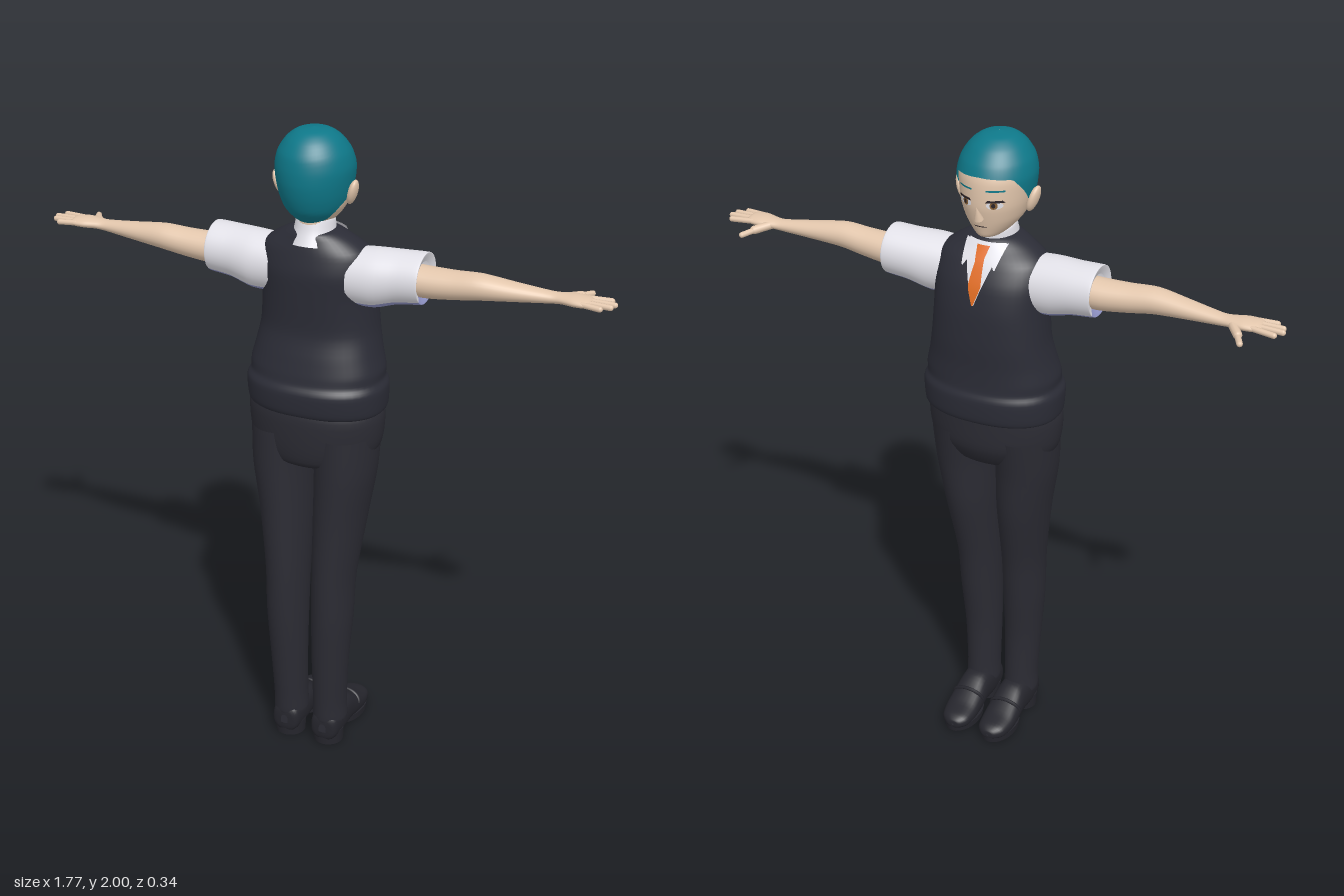
import * as THREE from 'three';

const mat = (name, color, side = THREE.FrontSide) =>
  Object.assign(new THREE.MeshStandardMaterial({ color, side }), { name });

// Section: [t, a, b, ra, rb, power], a superellipse at height t. Smooth between sections.
function at(sec, s) {
  const n = sec.length - 1, i = Math.min(Math.floor(s), n - 1), f = s - i;
  const g = (k, j) => sec[Math.max(0, Math.min(n, k))][j] ?? 2;
  return [0, 1, 2, 3, 4, 5].map((j) => {
    const p = g(i, j), q = g(i + 1, j);
    const m0 = 0.4 * (q - g(i - 1, j)), m1 = 0.4 * (g(i + 2, j) - p);
    const f2 = f * f, f3 = f2 * f;
    return p * (2 * f3 - 3 * f2 + 1) + m0 * (f3 - 2 * f2 + f) + q * (3 * f2 - 2 * f3) + m1 * (f3 - f2);
  });
}

// Section parameter at a given height
function sectionAt(sec, y) {
  let lo = 0, hi = sec.length - 1;
  for (let i = 0; i < 30; i++) {
    const m = (lo + hi) / 2;
    if (at(sec, m)[0] < y) lo = m; else hi = m;
  }
  return lo;
}

// Surface from a function of u and v in 0..1
function grid(f, nu, nv, closed = false) {
  const pos = [], idx = [], w = closed ? nu : nu + 1;
  for (let j = 0; j <= nv; j++) for (let i = 0; i < w; i++) pos.push(...f(i / nu, j / nv));
  for (let j = 0; j < nv; j++) for (let i = 0; i < nu; i++) {
    const a = j * w + i, b = j * w + (i + 1) % w;
    idx.push(a, a + w, b, b, a + w, b + w);
  }
  const g = new THREE.BufferGeometry();
  g.setAttribute('position', new THREE.Float32BufferAttribute(pos, 3));
  g.setIndex(idx);
  g.computeVertexNormals();
  return g;
}

// Angle 0 points to the face side (-z)
function onRing([t, a, b, ra, rb, p], th, grow = 0) {
  const pw = (v) => Math.sign(v) * Math.abs(v) ** (2 / p);
  return [a + pw(Math.sin(th)) * Math.max(ra + grow, 0.0005), t,
    b - pw(Math.cos(th)) * Math.max(rb + grow, 0.0005)];
}

function loft(sec, nu = 36, th0 = 0, th1 = Math.PI * 2) {
  const full = th1 - th0 > 6.28;
  return grid((u, v) => onRing(at(sec, v * (sec.length - 1)), th0 + u * (th1 - th0)),
    nu, (sec.length - 1) * 4, full);
}

// Thin piece following the face side of a loft, centred on cx(v)
function patch(sec, y0, y1, cx, half, off, nu = 10, nv = 12) {
  return grid((u, v) => {
    const y = y0 + (y1 - y0) * v, x = cx(v) + (u * 2 - 1) * half(v);
    const [, a, b, ra, rb, p] = at(sec, sectionAt(sec, y));
    const k = Math.min(1, Math.abs((x - a) / ra));
    return [x, y, b - rb * (1 - k ** p) ** (1 / p) - off];
  }, nu, nv);
}

function mirrored(geo) {
  const g = geo.clone().scale(-1, 1, 1), ix = g.index.array;
  for (let i = 0; i < ix.length; i += 3) [ix[i], ix[i + 1]] = [ix[i + 1], ix[i]];
  return g;
}

// Rounded rod between two points
function rod(p, q, r) {
  const a = new THREE.Vector3(...p), b = new THREE.Vector3(...q), d = b.clone().sub(a);
  const g = new THREE.CapsuleGeometry(r, d.length(), 5, 10);
  g.applyQuaternion(new THREE.Quaternion().setFromUnitVectors(new THREE.Vector3(0, 1, 0), d.normalize()));
  return g.translate(...a.add(b).multiplyScalar(0.5).toArray());
}

const blob = (x, y, z, rx, ry, rz) =>
  new THREE.SphereGeometry(1, 20, 14).scale(rx, ry, rz).translate(x, y, z);

export function createModel() {
  const root = new THREE.Group();
  const D = THREE.DoubleSide;
  const skin = mat('skin', 0xe2c6ac), hair = mat('hair', 0x0e7889, D);
  const vest = mat('vest', 0x2b2c36), cloth = mat('trousers', 0x2b2b33);
  const shirt = mat('shirt', 0xe2e1e8, D), shade = mat('shirtUnderside', 0x979bcf, D);
  const orange = mat('tie', 0xe06c22, D), leather = mat('shoeLeather', 0x25252c);
  const dark = mat('eyeLine', 0x2b2226, D), amber = mat('iris', 0x8a6238, D);

  const add = (name, geo, m) => {
    const mesh = new THREE.Mesh(geo, m);
    mesh.name = name;
    root.add(mesh);
  };
  const both = (name, geo, m) => {
    add(name + 'Left', geo, m);
    add(name + 'Right', mirrored(geo), m);
  };

  // Head, neck, ears, nose
  const head = [[1.711, 0, 0, 0.01, 0.02], [1.717, 0, -0.003, 0.036, 0.062], [1.74, 0, 0.01, 0.062, 0.086],
    [1.77, 0, 0.02, 0.084, 0.104], [1.81, 0, 0.024, 0.098, 0.116], [1.85, 0, 0.028, 0.105, 0.12],
    [1.89, 0, 0.03, 0.108, 0.118], [1.93, 0, 0.034, 0.098, 0.106], [1.965, 0, 0.037, 0.074, 0.08],
    [1.987, 0, 0.04, 0.043, 0.046], [1.994, 0, 0.04, 0.001, 0.001]];
  add('head', loft(head, 48), skin);
  add('neck', new THREE.CylinderGeometry(0.045, 0.05, 0.16, 24).translate(0, 1.7, 0.045), skin);
  both('ear', blob(0, 0, 0, 0.014, 0.04, 0.024).rotateZ(-0.3).rotateX(0.2).translate(0.113, 1.82, 0.028), skin);
  add('nose', new THREE.ConeGeometry(0.014, 0.045, 12).rotateX(-0.35).translate(0, 1.802, -0.098), skin);

  // Close-cropped hair, hairline height by angle from the face
  const line = [[0, 1.905], [0.85, 1.9], [1.2, 1.86], [1.5, 1.815], [1.9, 1.79], [2.3, 1.745], [3.2, 1.728]];
  const hairline = (th) => {
    const a = Math.min(th, Math.PI * 2 - th), i = line.findIndex((p) => p[0] > a);
    const [p, q] = [line[i - 1], line[i]];
    return p[1] + (q[1] - p[1]) * (a - p[0]) / (q[0] - p[0]);
  };
  add('hair', grid((u, v) => {
    const th = u * Math.PI * 2, s0 = sectionAt(head, hairline(th));
    const p = onRing(at(head, s0 + (head.length - 1 - s0) * v), th, 0.006 * (1 - v ** 8));
    p[1] += 0.006 * v;
    return p;
  }, 64, 28, true), hair);

  // Painted face
  const oval = (w) => (v) => w * Math.sqrt(Math.max(0, 1 - (2 * v - 1) ** 2));
  const facePart = (name, y0, y1, x, w, off, m) => both(name, patch(head, y0, y1, () => x, w, off), m);
  facePart('eyeWhite', 1.814, 1.838, 0.044, oval(0.021), 0.002, shirt);
  facePart('iris', 1.815, 1.838, 0.043, oval(0.01), 0.0035, amber);
  facePart('pupil', 1.82, 1.834, 0.043, oval(0.005), 0.005, dark);
  facePart('upperLash', 1.835, 1.842, 0.046, (v) => 0.025 - 0.006 * v, 0.005, dark);
  facePart('brow', 1.866, 1.871, 0.046, () => 0.024, 0.003, hair);
  add('mouth', patch(head, 1.754, 1.757, () => 0, () => 0.018, 0.002), dark);

  // Knitted vest with a rolled hem
  const torso = [[1.152, 0, 0.01, 0.18, 0.12, 2.3], [1.15, 0, 0.01, 0.207, 0.144, 2.3], [1.17, 0, 0.011, 0.213, 0.153, 2.3],
    [1.225, 0, 0.012, 0.215, 0.156, 2.3], [1.25, 0, 0.01, 0.204, 0.145, 2.3], [1.28, 0, 0.008, 0.204, 0.141, 2.3],
    [1.33, 0, 0.002, 0.192, 0.135, 2.3], [1.4, 0, -0.008, 0.179, 0.128, 2.3], [1.5, 0, -0.004, 0.172, 0.128, 2.3],
    [1.58, 0, 0.006, 0.173, 0.121, 2.3], [1.64, 0, 0.015, 0.163, 0.1, 2.2], [1.675, 0, 0.024, 0.122, 0.081, 2],
    [1.7, 0, 0.03, 0.075, 0.065, 2], [1.71, 0, 0.03, 0.03, 0.03, 2]];
  add('vest', loft(torso, 48), vest);

  // Shirt front, tie and collar
  const mid = () => 0, vee = (v) => 0.002 + 0.056 * v;
  add('shirtFront', patch(torso, 1.53, 1.695, mid, vee, 0.005), shirt);
  add('tieBlade', patch(torso, 1.532, 1.67, mid, (v) => Math.min(vee(v * 0.84), 0.026 - 0.015 * v), 0.01), orange);
  add('tieKnot', patch(torso, 1.652, 1.69, mid, (v) => 0.012 + 0.008 * v, 0.016), orange);
  both('collarWing', patch(torso, 1.635, 1.695, (v) => 0.05 - 0.012 * v, (v) => 0.002 + 0.025 * v, 0.013), shirt);
  const collar = [[1.65, 0, 0.032, 0.072, 0.078], [1.69, 0, 0.032, 0.062, 0.068],
    [1.727, 0, 0.035, 0.056, 0.062], [1.731, 0, 0.035, 0.052, 0.058], [1.715, 0, 0.035, 0.048, 0.054]];
  add('collar', loft(collar).translate(0, -1.69, -0.03).rotateX(-0.22).translate(0, 1.69, 0.03), shirt);

  // Arms, lofted upright and then laid along x
  const sleeve = [[0.12, -1.57, 0.018, 0.085, 0.085], [0.19, -1.572, 0.016, 0.088, 0.086], [0.26, -1.582, 0.01, 0.079, 0.081],
    [0.325, -1.587, 0.008, 0.076, 0.08], [0.331, -1.587, 0.008, 0.072, 0.076], [0.322, -1.585, 0.008, 0.05, 0.055]];
  const low = Math.PI / 2 - 0.75, high = Math.PI / 2 + 0.75;
  both('sleeve', loft(sleeve, 30, high, low + Math.PI * 2).rotateZ(-Math.PI / 2), shirt);
  both('sleeveUnderside', loft(sleeve, 12, low, high).rotateZ(-Math.PI / 2), shade);
  const arm = [[0.22, -1.585, 0.01, 0.045, 0.05], [0.33, -1.579, 0.01, 0.046, 0.052], [0.42, -1.584, 0.013, 0.042, 0.047],
    [0.5, -1.592, 0.015, 0.038, 0.043], [0.6, -1.59, 0.007, 0.027, 0.034], [0.7, -1.588, -0.003, 0.017, 0.024],
    [0.735, -1.59, -0.004, 0.015, 0.029], [0.77, -1.591, -0.002, 0.016, 0.037],
    [0.805, -1.591, 0, 0.013, 0.036], [0.82, -1.591, 0, 0.004, 0.025]];
  both('arm', loft(arm, 28).rotateZ(-Math.PI / 2), skin);
  [[-0.028, -0.038, 0.862], [-0.009, -0.011, 0.878], [0.01, 0.012, 0.872], [0.027, 0.034, 0.848]].forEach(
    ([z0, z1, x], i) => both('finger' + (i + 1), rod([0.795, 1.592, z0], [x, 1.59, z1], 0.0085), skin));
  both('thumbBase', rod([0.735, 1.588, -0.018], [0.768, 1.582, -0.062], 0.013), skin);
  both('thumbTip', rod([0.766, 1.582, -0.06], [0.788, 1.577, -0.1], 0.009), skin);

  // Trousers
  const hips = [[1.2, 0, 0.012, 0.19, 0.13], [1.14, 0, 0.02, 0.212, 0.14], [1.05, 0, 0.021, 0.204, 0.137],
    [0.99, 0, 0.03, 0.165, 0.115], [0.965, 0, 0.03, 0.08, 0.07], [0.96, 0, 0.03, 0.001, 0.001]];
  add('trouserHips', loft(hips.reverse(), 48), cloth);
  const leg = [[0.085, 0.067, 0.07, 0.04, 0.045], [0.08, 0.067, 0.07, 0.053, 0.061], [0.15, 0.067, 0.073, 0.052, 0.062],
    [0.3, 0.07, 0.078, 0.057, 0.067], [0.45, 0.075, 0.074, 0.063, 0.08], [0.6, 0.077, 0.065, 0.066, 0.09],
    [0.8, 0.088, 0.041, 0.08, 0.11], [0.95, 0.1, 0.033, 0.092, 0.118], [1.08, 0.1, 0.022, 0.098, 0.128]];
  both('trouserLeg', loft(leg, 32), cloth);

  // Shoes: upper lofted from heel to toe, with sole, heel and strap
  const upper = [[-0.132, 0.066, 0.055, 0.012, 0.02, 2.6], [-0.122, 0.066, 0.06, 0.042, 0.045, 2.6],
    [-0.06, 0.066, 0.068, 0.05, 0.055, 2.6], [0, 0.066, 0.068, 0.05, 0.055, 2.4], [0.05, 0.066, 0.054, 0.053, 0.043, 2.4],
    [0.1, 0.066, 0.042, 0.053, 0.031, 2.4], [0.145, 0.064, 0.037, 0.044, 0.024, 2.4],
    [0.166, 0.062, 0.034, 0.022, 0.014, 2.2], [0.169, 0.062, 0.033, 0.003, 0.003, 2]];
  both('shoeUpper', loft(upper, 28).rotateX(-Math.PI / 2), leather);
  both('shoeSole', new THREE.CylinderGeometry(1, 0.97, 0.022, 28).scale(0.055, 1, 0.09).translate(0.065, 0.017, -0.079), leather);
  both('shoeHeel', new THREE.CylinderGeometry(1, 0.96, 0.045, 24).scale(0.049, 1, 0.05).translate(0.066, 0.0225, 0.081), leather);
  both('shoeStrap', new THREE.TorusGeometry(0.05, 0.006, 6, 24, Math.PI).scale(1, 0.75, 1).rotateX(-0.3).translate(0.066, 0.064, -0.045), leather);
  // Hips were listed from the top down, so the loft runs upward after reversal
  return root;
}
